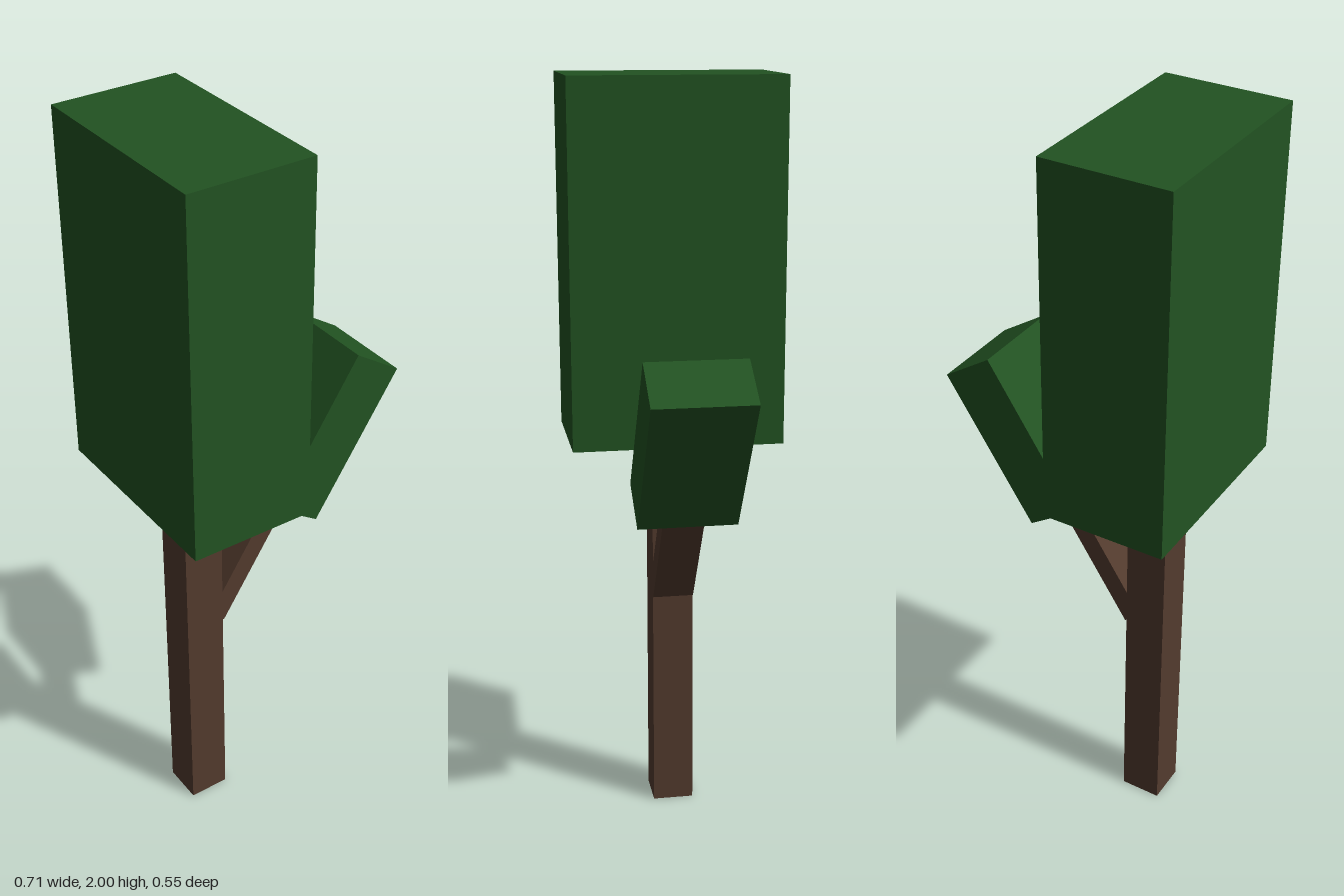
import * as THREE from 'three';

export function createModel() {
  const model = new THREE.Group();
  model.name = 'tree';

  const bark = new THREE.MeshStandardMaterial({ color: 0x533b2e });
  bark.name = 'brown bark';
  const leaf = new THREE.MeshStandardMaterial({ color: 0x225322 });
  leaf.name = 'green leaves';

  // Box spanning y0..y1 along its parent's y axis, centred on x and z
  function block(name, material, width, depth, y0, y1, parent) {
    const mesh = new THREE.Mesh(new THREE.BoxGeometry(width, y1 - y0, depth), material);
    mesh.name = name;
    mesh.position.y = (y0 + y1) / 2;
    parent.add(mesh);
    return mesh;
  }

  // Upright trunk with the large crown
  const main = new THREE.Group();
  main.name = 'mainStem';
  main.position.x = -0.192;
  block('trunk', bark, 0.11, 0.11, 0, 1.063, main);
  block('crown', leaf, 0.327, 0.552, 1.063, 2, main);
  model.add(main);

  // Leaning side branch with the small crown; origin at the base of its leaves
  const side = new THREE.Group();
  side.name = 'sideBranch';
  side.position.set(0.044, 0.934, 0);
  side.rotation.z = -THREE.MathUtils.degToRad(33.3);
  block('branch', bark, 0.056, 0.11, -0.365, 0, side);
  block('branchCrown', leaf, 0.153, 0.26, 0, 0.447, side);
  model.add(side);

  return model;
}
